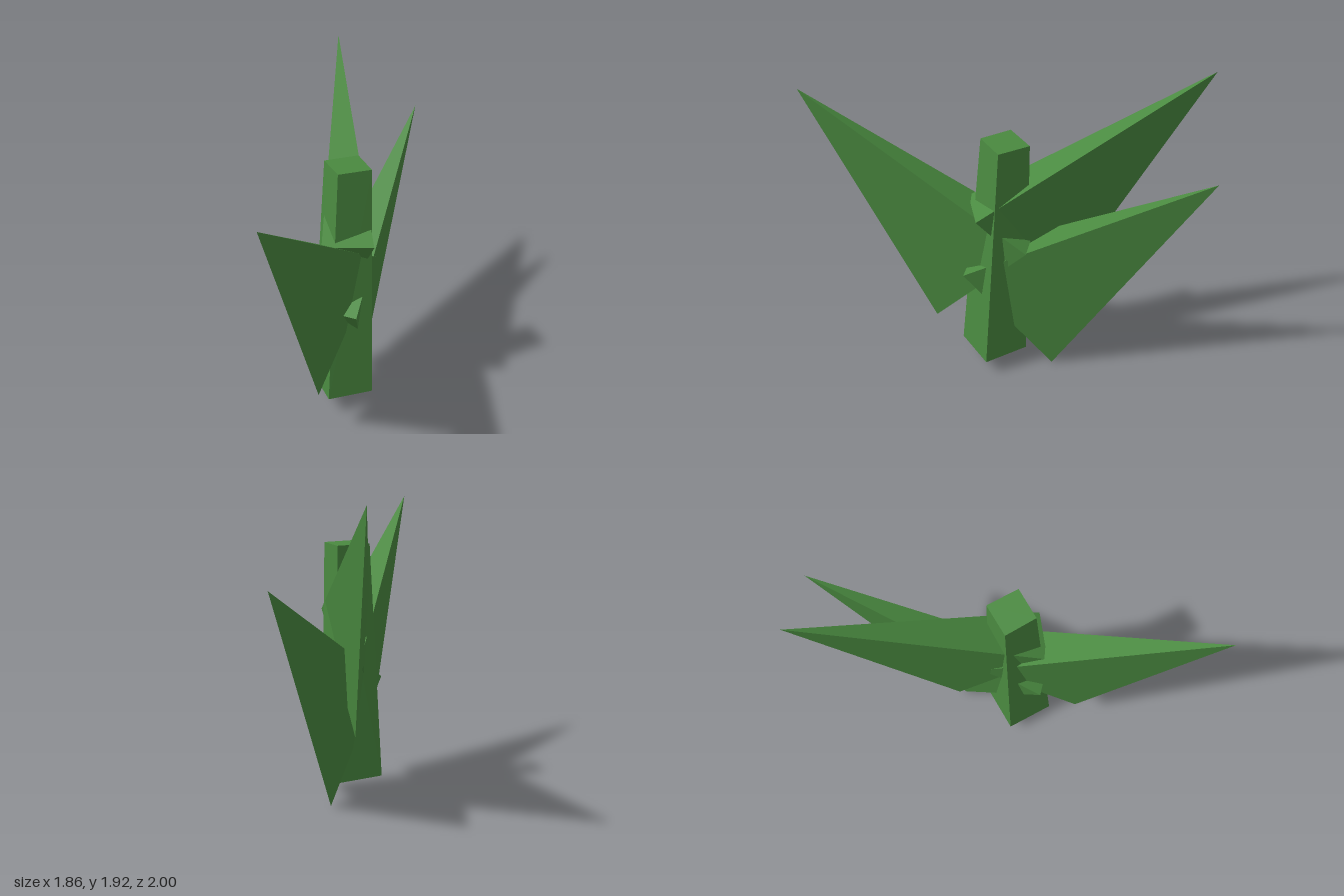
import * as THREE from 'three';
import { ConvexGeometry } from 'three/addons/geometries/ConvexGeometry.js';

const leafGreen = new THREE.MeshStandardMaterial({ color: 0x4a8a40 });
leafGreen.name = 'leafGreen';

// Flat-faced solid spanned by its corner points
function solid(name, corners) {
  const points = corners.map((c) => new THREE.Vector3(...c));
  const mesh = new THREE.Mesh(new ConvexGeometry(points), leafGreen);
  mesh.name = name;
  return mesh;
}

export function createModel() {
  const group = new THREE.Group();
  group.name = 'leafyStalk';

  // Square stalk, leaning slightly and narrowing to the top
  group.add(solid('stalk', [
    [-0.225, 0.115, 0.355], [0.068, 0.1, 0.38], [0.095, 0.1, 0.085], [-0.195, 0.115, 0.055],
    [-0.115, 1.615, 0.258], [0.093, 1.61, 0.28], [0.115, 1.605, 0.07], [-0.1, 1.61, 0.05],
  ]));

  // Three wedge leaves: outer tip, lower point, then the two corners of the root edge
  const leaves = {
    frontLeaf: [[-0.93, 1.83, 1.0], [-0.35, 0.27, 0.47], [0.21, 0.93, 0.17], [0.01, 0.94, -0.05]],
    backLeaf: [[0.52, 1.925, -1.0], [0.11, 0.45, -0.145], [0.045, 1.17, 0.415], [-0.232, 1.17, 0.277]],
    sideLeaf: [[0.93, 1.47, -0.67], [0.22, 0, -0.03], [-0.08, 0.72, 0.435], [-0.28, 0.73, 0.21]],
  };
  for (const [name, corners] of Object.entries(leaves)) group.add(solid(name, corners));

  return group;
}
